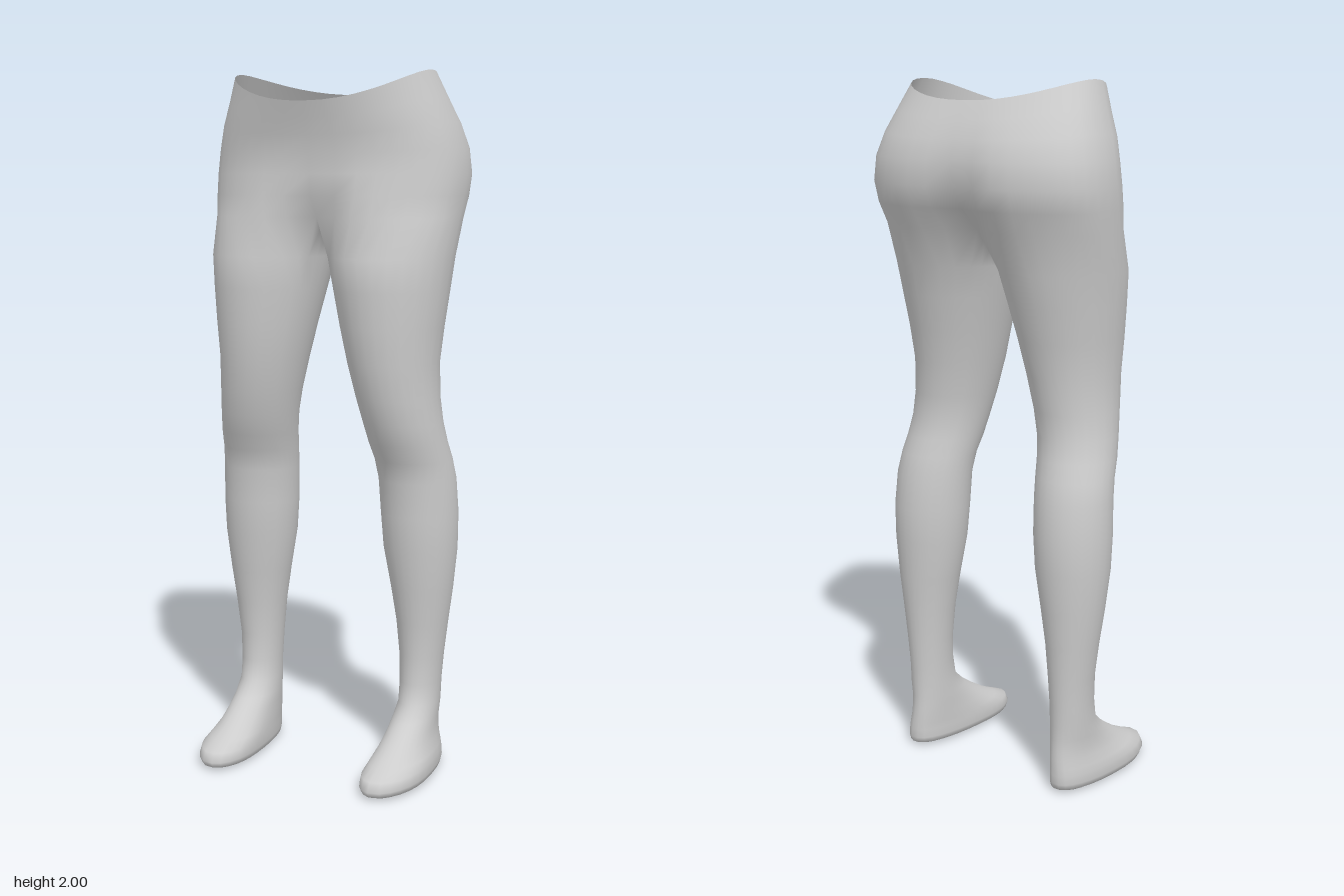
import * as THREE from 'three';

const N = 40;        // points around the pelvis
const HALF = N / 2;  // steps along one half of a pelvis ring
const SADDLE = 8;    // steps across the crotch, back to front

// pelvis rings: y, half width, z front, z back, front dent, back cleft, front drop, back drop, squareness
const PELVIS = [
  [2.0, 0.295, 0.18, -0.205, 0, 0, 0.085, 0.055, 2.2],
  [1.93, 0.322, 0.168, -0.235, 0, 0.004, 0.06, 0.035, 2.3],
  [1.86, 0.35, 0.157, -0.262, 0, 0.012, 0.035, 0.015, 2.4],
  [1.79, 0.37, 0.148, -0.283, 0, 0.02, 0.015, 0, 2.4],
  [1.72, 0.378, 0.152, -0.288, 0.01, 0.03, 0, 0, 2.4],
  [1.66, 0.375, 0.162, -0.272, 0.025, 0.05, 0, 0, 2.4],
  [1.6, 0.37, 0.172, -0.242, 0.075, 0.09, 0, 0, 2.3],
];

// leg rings: y, inner x, outer x, z front, z back
const LEG = [
  [1.49, 0.006, 0.362, 0.18, -0.188],
  [1.4, 0.028, 0.353, 0.179, -0.165],
  [1.3, 0.052, 0.342, 0.175, -0.14],
  [1.2, 0.076, 0.332, 0.165, -0.12],
  [1.1, 0.1, 0.335, 0.147, -0.108],
  [1.03, 0.115, 0.342, 0.127, -0.108],
  [0.97, 0.126, 0.35, 0.108, -0.122],
  [0.92, 0.134, 0.358, 0.082, -0.138],
  [0.86, 0.14, 0.365, 0.066, -0.152],
  [0.76, 0.145, 0.369, 0.062, -0.163],
  [0.66, 0.152, 0.367, 0.053, -0.16],
  [0.54, 0.174, 0.354, 0.036, -0.151],
  [0.44, 0.19, 0.34, 0.022, -0.142],
  [0.34, 0.2, 0.327, 0.014, -0.136],
  [0.26, 0.204, 0.321, 0.018, -0.131],
  [0.2, 0.204, 0.32, 0.03, -0.13],
];

// foot rings: as above, then forward flare, toe slant and squareness
const FOOT = [
  [0.16, 0.2, 0.32, 0.075, -0.13, 0, 0, 2],
  [0.13, 0.197, 0.323, 0.12, -0.132, 0.05, 0.02, 2.1],
  [0.1, 0.19, 0.332, 0.172, -0.135, 0.15, 0.1, 2.2],
  [0.075, 0.181, 0.347, 0.225, -0.137, 0.25, 0.2, 2.3],
  [0.055, 0.175, 0.357, 0.275, -0.139, 0.3, 0.25, 2.4],
  [0.03, 0.173, 0.36, 0.288, -0.14, 0.3, 0.25, 2.4],
  [0.014, 0.178, 0.354, 0.28, -0.136, 0.3, 0.25, 2.4],
  [0.005, 0.2, 0.335, 0.255, -0.115, 0.3, 0.25, 2.4],
];

const power = (v, e) => Math.sign(v) * Math.abs(v) ** (2 / e);

export function createModel() {
  const positions = [];
  const faces = { pelvis: [], leftLeg: [], rightLeg: [], leftFoot: [], rightFoot: [] };
  const addPoint = (x, y, z) => positions.push(x, y, z) / 3 - 1;

  // joins two rings of the same length
  function bridge(part, upper, lower, flip) {
    upper.forEach((a, k) => {
      const n = (k + 1) % upper.length;
      const [b, c, d] = [upper[n], lower[k], lower[n]];
      if (flip) part.push(a, b, c, b, d, c);
      else part.push(a, c, b, b, c, d);
    });
  }

  // pelvis, from the open curved waist down to the top of the thighs
  const rings = PELVIS.map(([y, w, zf, zb, dent, cleft, dropF, dropB, e]) => {
    const mid = (zf + zb) / 2 - 0.01;
    return Array.from({ length: N }, (_, k) => {
      const t = (k / N) * Math.PI * 2;
      const c = power(Math.cos(t), e);
      const x = w * power(Math.sin(t), e);
      const crease = Math.exp(-((x / 0.08) ** 2));
      const z = c > 0 ? mid + c * (zf - mid) - dent * crease : mid + c * (mid - zb) + (c < -0.3 ? cleft * crease : 0);
      return addPoint(x, y - (c > 0 ? dropF : dropB) * c * c, z);
    });
  });
  for (let r = 1; r < rings.length; r++) bridge(faces.pelvis, rings[r - 1], rings[r], false);

  // saddle line between the legs, back to front
  const last = rings[rings.length - 1];
  const zFront = positions[last[0] * 3 + 2];
  const zBack = positions[last[HALF] * 3 + 2];
  const saddle = [];
  for (let i = 1; i < SADDLE; i++) {
    const s = i / SADDLE;
    saddle.push(addPoint(0, 1.6 - 0.075 * Math.sin(Math.PI * s), THREE.MathUtils.lerp(zBack, zFront, s)));
  }

  // angles around a leg: the outer side first, then the inner side
  const angles = [];
  for (let k = 0; k <= HALF; k++) angles.push(-50 + (280 * k) / HALF);
  for (let i = 1; i < SADDLE; i++) angles.push(230 + (80 * i) / SADDLE);

  function limbRing(side, [y, xi, xo, zf, zb, flare = 0, slant = 0, e = 2]) {
    return angles.map((deg) => {
      const t = THREE.MathUtils.degToRad(deg);
      const c = power(Math.cos(t), e);
      const s = power(Math.sin(t), e);
      const forward = (c + 1) / 2;
      const half = ((xo - xi) / 2) * (1 - flare * (1 - forward));
      const x = (xi + xo) / 2 + half * s;
      const z = (zf + zb) / 2 + ((zf - zb) / 2) * c - slant * Math.max(0, s) * forward * 0.2;
      return addPoint(side * x, y, z);
    });
  }

  // legs and feet, mirrored
  for (const side of [1, -1]) {
    const name = side > 0 ? 'left' : 'right';
    const flip = side < 0;
    let ring = [];
    for (let k = 0; k <= HALF; k++) ring.push(last[(side * k + N) % N]);
    ring.push(...saddle);
    for (const [part, rows] of [['Leg', LEG], ['Foot', FOOT]]) {
      for (const row of rows) {
        const next = limbRing(side, row);
        bridge(faces[name + part], ring, next, flip);
        ring = next;
      }
    }
    // sole
    const centre = addPoint(side * 0.265, 0.005, 0.07);
    bridge(faces[name + 'Foot'], ring, ring.map(() => centre), flip);
  }

  // shared points give smooth normals across all parts
  const whole = new THREE.BufferGeometry();
  whole.setAttribute('position', new THREE.Float32BufferAttribute(positions, 3));
  whole.setIndex(Object.values(faces).flat());
  whole.computeVertexNormals();

  const grey = new THREE.MeshStandardMaterial({ color: 0xcccccc, side: THREE.DoubleSide });
  grey.name = 'light grey';

  const group = new THREE.Group();
  group.name = 'lowerBody';
  for (const [name, index] of Object.entries(faces)) {
    const geometry = new THREE.BufferGeometry();
    geometry.setAttribute('position', whole.getAttribute('position'));
    geometry.setAttribute('normal', whole.getAttribute('normal'));
    geometry.setIndex(index);
    const mesh = new THREE.Mesh(geometry, grey);
    mesh.name = name;
    group.add(mesh);
  }
  return group;
}
